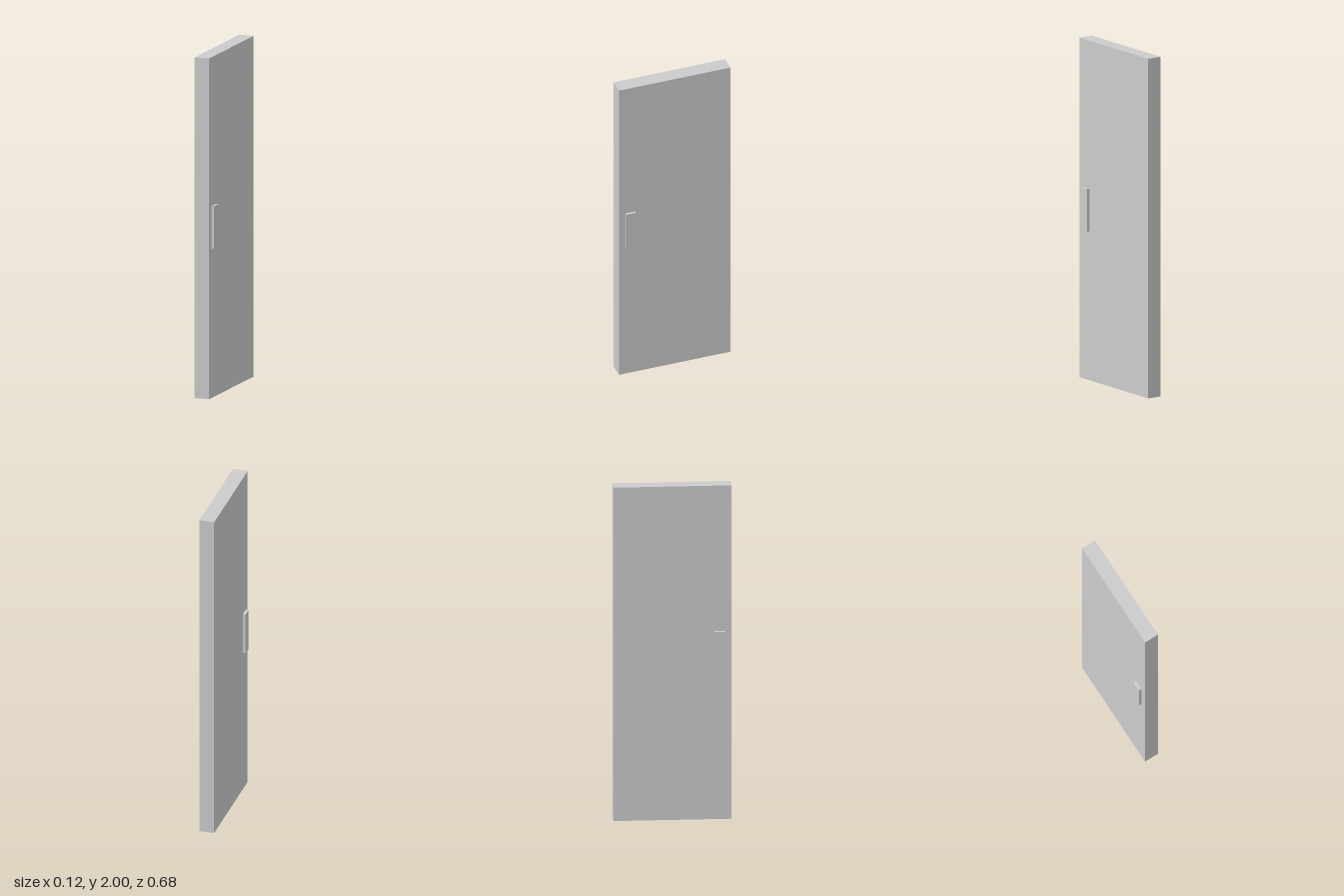
import * as THREE from 'three';

const material = new THREE.MeshStandardMaterial({ color: 0xcccccc, flatShading: true });

// Box given by its [min, max] extent on each axis
function addBox(group, name, [x0, x1], [y0, y1], [z0, z1]) {
  const mesh = new THREE.Mesh(new THREE.BoxGeometry(x1 - x0, y1 - y0, z1 - z0), material);
  mesh.position.set((x0 + x1) / 2, (y0 + y1) / 2, (z0 + z1) / 2);
  mesh.name = name;
  group.add(mesh);
}

export function createModel() {
  const door = new THREE.Group();
  door.name = 'door';

  // Plain slab
  addBox(door, 'doorPanel', [-0.044, 0.045], [0, 2], [-0.34, 0.34]);

  // Flat handle plate on each face, near the front edge
  const plateY = [0.877, 1.127];
  const plateZ = [0.241, 0.301];
  addBox(door, 'leftHandle', [0.045, 0.06], plateY, plateZ);
  addBox(door, 'rightHandle', [-0.061, -0.044], plateY, plateZ);

  return door;
}
